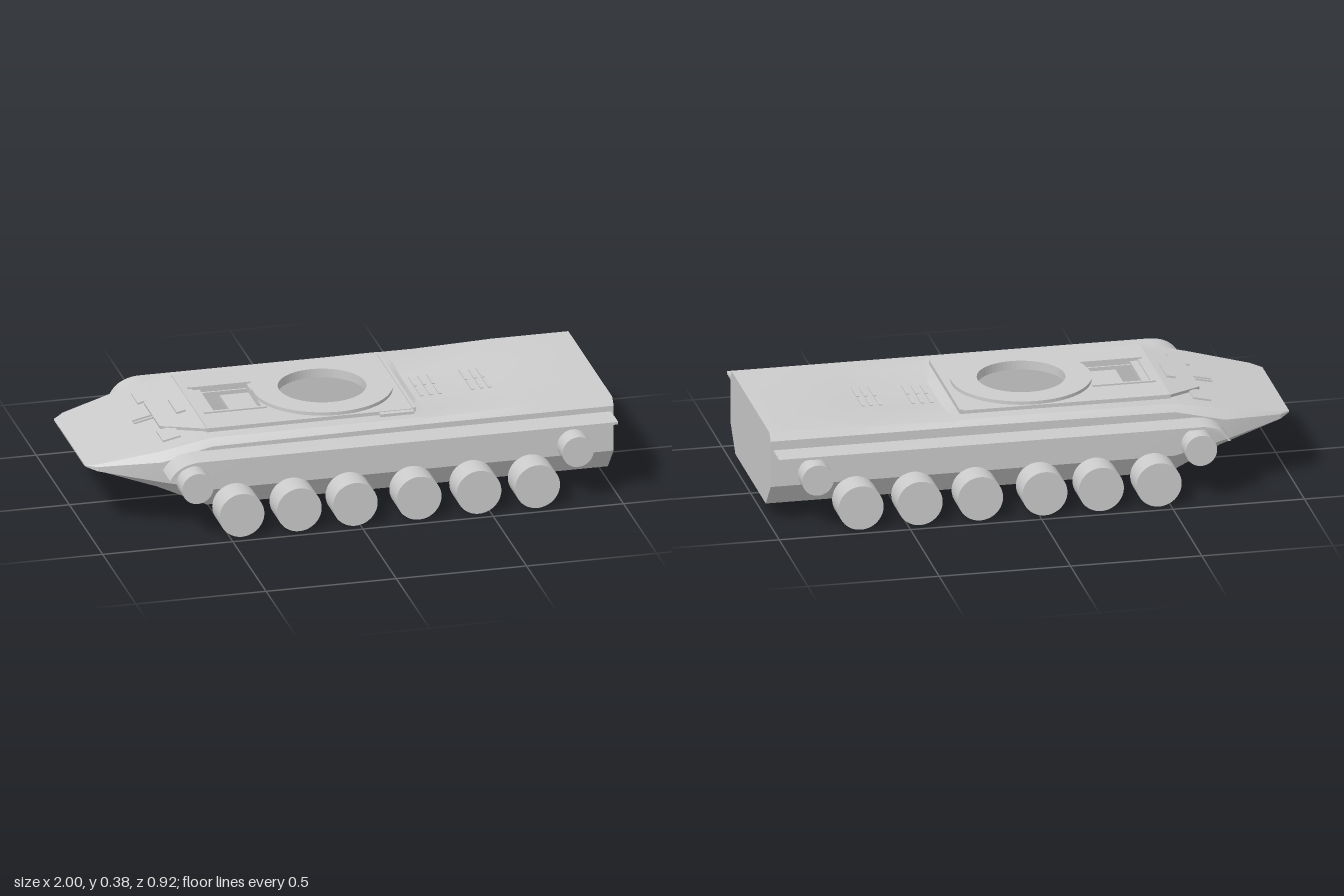
import * as THREE from 'three';
import { toCreasedNormals } from 'three/addons/utils/BufferGeometryUtils.js';

const grey = new THREE.MeshStandardMaterial({ color: 0xcccccc, side: THREE.DoubleSide });

// Hull stations: x, centre deck y, deck y, deck half-width, shoulder y, half-width, chine y, floor half-width, floor y
const STATIONS = [
  [-1, 0.253, 0.253, 0.23, 0.252, 0.235, 0.248, 0.23, 0.247],
  [-0.96, 0.262, 0.262, 0.262, 0.255, 0.27, 0.238, 0.25, 0.234],
  [-0.73, 0.31, 0.31, 0.31, 0.28, 0.345, 0.2, 0.26, 0.15],
  [-0.54, 0.352, 0.352, 0.325, 0.328, 0.352, 0.155, 0.265, 0.06],
  [0.26, 0.355, 0.355, 0.328, 0.335, 0.352, 0.155, 0.265, 0.057],
  [0.3, 0.338, 0.35, 0.33, 0.335, 0.352, 0.155, 0.265, 0.057],
  [0.62, 0.348, 0.36, 0.33, 0.335, 0.352, 0.155, 0.265, 0.057],
  [0.7, 0.363, 0.363, 0.33, 0.335, 0.352, 0.155, 0.265, 0.057],
  [1, 0.363, 0.363, 0.33, 0.335, 0.352, 0.155, 0.265, 0.057],
];

function hullGeometry() {
  const rings = STATIONS.map(([x, c, t, tw, s, w, l, bw, b]) => {
    const half = [[c, 0.11], [t, Math.min(0.25, tw - 0.02)], [t, tw], [s, w], [l, w], [b, bw]];
    return [...half, ...half.map(([y, z]) => [y, -z]).reverse()].map(([y, z]) => [x, y, z]);
  });
  const pos = [];
  const tri = (...pts) => pts.forEach((p) => pos.push(...p));
  const n = rings[0].length;
  for (let i = 0; i < rings.length - 1; i++) {
    const a = rings[i], b = rings[i + 1];
    for (let j = 0; j < n; j++) {
      const k = (j + 1) % n;
      if (i === 3 && [0, n - 2, n - 1].includes(j)) continue; // open under the roof plate
      tri(a[j], a[k], b[j]);
      tri(a[k], b[k], b[j]);
    }
  }
  // Nose edge and flat stern
  const first = rings[0], last = rings[rings.length - 1];
  for (let j = 0; j < n; j++) {
    const k = (j + 1) % n;
    tri([-1, 0.25, 0], first[k], first[j]);
    tri([1, 0.2, 0], last[j], last[k]);
  }
  const g = new THREE.BufferGeometry();
  g.setAttribute('position', new THREE.Float32BufferAttribute(pos, 3));
  return toCreasedNormals(g, 0.4);
}

// Horizontal slab from a plan outline, lying with its underside at y = 0
function slab(shape, thickness) {
  return new THREE.ExtrudeGeometry(shape, { depth: thickness, bevelEnabled: false, curveSegments: 32 }).rotateX(-Math.PI / 2);
}

function polygon(pts) {
  return new THREE.Shape(pts.map(([x, y]) => new THREE.Vector2(x, y)));
}

function circlePath(Type, x, r) {
  const p = new Type();
  p.absarc(x, 0, r, 0, Math.PI * 2, Type === THREE.Path);
  return p;
}

export function createModel() {
  const root = new THREE.Group();
  const add = (name, geo, x = 0, y = 0, z = 0, parent = root) => {
    const m = new THREE.Mesh(geo, grey);
    m.name = name;
    m.position.set(x, y, z);
    parent.add(m);
    return m;
  };
  const box = (name, w, h, d, x, y, z, parent) => add(name, new THREE.BoxGeometry(w, h, d), x, y, z, parent);

  add('hull', hullGeometry());

  // Roof plate with driver opening and turret opening
  const roof = polygon([[-0.54, -0.27], [0.26, -0.27], [0.26, 0.27], [-0.54, 0.27]]);
  roof.holes.push(new THREE.Path([[-0.5, -0.12], [-0.5, 0.12], [-0.29, 0.12], [-0.29, -0.12]].map((p) => new THREE.Vector2(...p))));
  roof.holes.push(circlePath(THREE.Path, -0.03, 0.165));
  add('roofPlate', slab(roof, 0.022), 0, 0.346, 0);

  const ring = circlePath(THREE.Shape, -0.03, 0.263);
  ring.holes.push(circlePath(THREE.Path, -0.03, 0.165));
  add('turretRing', slab(ring, 0.014), 0, 0.367, 0);

  // Roof rim and side tab
  box('roofRearRim', 0.012, 0.024, 0.54, 0.256, 0.36, 0);
  box('roofTab', 0.13, 0.015, 0.025, 0.185, 0.358, 0.28);

  // Driver opening: frame rails, cross bars and seat panel
  const driver = new THREE.Group();
  driver.name = 'driverStation';
  root.add(driver);
  for (const s of [-1, 1]) {
    box('driverRail', 0.24, 0.012, 0.012, -0.395, 0.368, s * 0.125, driver);
    box('driverWall', 0.21, 0.05, 0.008, -0.395, 0.325, s * 0.116, driver);
  }
  box('driverCrossBar', 0.03, 0.02, 0.24, -0.485, 0.352, 0, driver);
  box('driverPanel', 0.11, 0.015, 0.14, -0.35, 0.345, 0, driver);

  // Items lying on the sloping bow deck
  const bow = new THREE.Group();
  bow.name = 'bowDeckFittings';
  bow.position.set(-0.54, 0.352, 0);
  bow.rotation.z = Math.atan2(0.042, 0.19);
  root.add(bow);
  add('bowPlate', slab(polygon([[0.01, -0.27], [0.01, 0.27], [-0.145, 0.12], [-0.145, -0.12]]), 0.014), 0, -0.002, 0, bow);
  for (const s of [-1, 1]) {
    box('bowPanel', 0.07, 0.008, 0.1, -0.13, 0.003, s * 0.19, bow);
    box('bowStrip', 0.08, 0.008, 0.008, -0.18, 0.003, s * 0.012, bow);
  }
  box('bowPeriscope', 0.035, 0.01, 0.13, -0.045, 0.015, 0, bow);
  box('bowCatch', 0.02, 0.01, 0.2, -0.135, 0.006, 0, bow);

  // Engine deck grilles
  for (const x of [0.33, 0.365, 0.4, 0.525, 0.56, 0.59])
    for (const s of [-1, 1])
      box('grilleBar', 0.012, 0.008, 0.09, x, 0.338 + (x - 0.3) * 0.031, s * 0.05);

  // Thin fender profile with curled-down front end
  const fender = new THREE.Shape();
  fender.moveTo(0.99, 0.314);
  fender.lineTo(-0.62, 0.314);
  fender.quadraticCurveTo(-0.7, 0.31, -0.73, 0.25);
  fender.lineTo(-0.72, 0.25);
  fender.quadraticCurveTo(-0.69, 0.302, -0.62, 0.304);
  fender.lineTo(0.99, 0.304);
  const fenderGeo = toCreasedNormals(new THREE.ExtrudeGeometry(fender, { depth: 0.11, bevelEnabled: false }), 0.5);
  add('leftFender', fenderGeo, 0, 0, 0.35);
  add('rightFender', fenderGeo, 0, -0.014, -0.455);

  // Running gear: road wheels, end wheels and axles on both sides
  const drum = (r, w) => new THREE.CylinderGeometry(r, r, w, 40).rotateX(Math.PI / 2);
  const roadWheel = drum(0.086, 0.112), endWheel = drum(0.06, 0.08);
  const axle = drum(0.018, 0.13), stub = drum(0.018, 0.05);
  for (const s of [-1, 1]) {
    for (const x of [-0.455, -0.235, -0.02, 0.225, 0.455, 0.68]) {
      add('roadWheel', roadWheel, x, 0.086, s * 0.406);
      add('roadWheelAxle', axle, x, 0.088, s * 0.315);
    }
    for (const x of [-0.62, 0.84]) {
      add('endWheel', endWheel, x, 0.202, s * 0.405);
      add('endWheelAxle', stub, x, 0.202, s * 0.36);
    }
  }
  return root;
}
